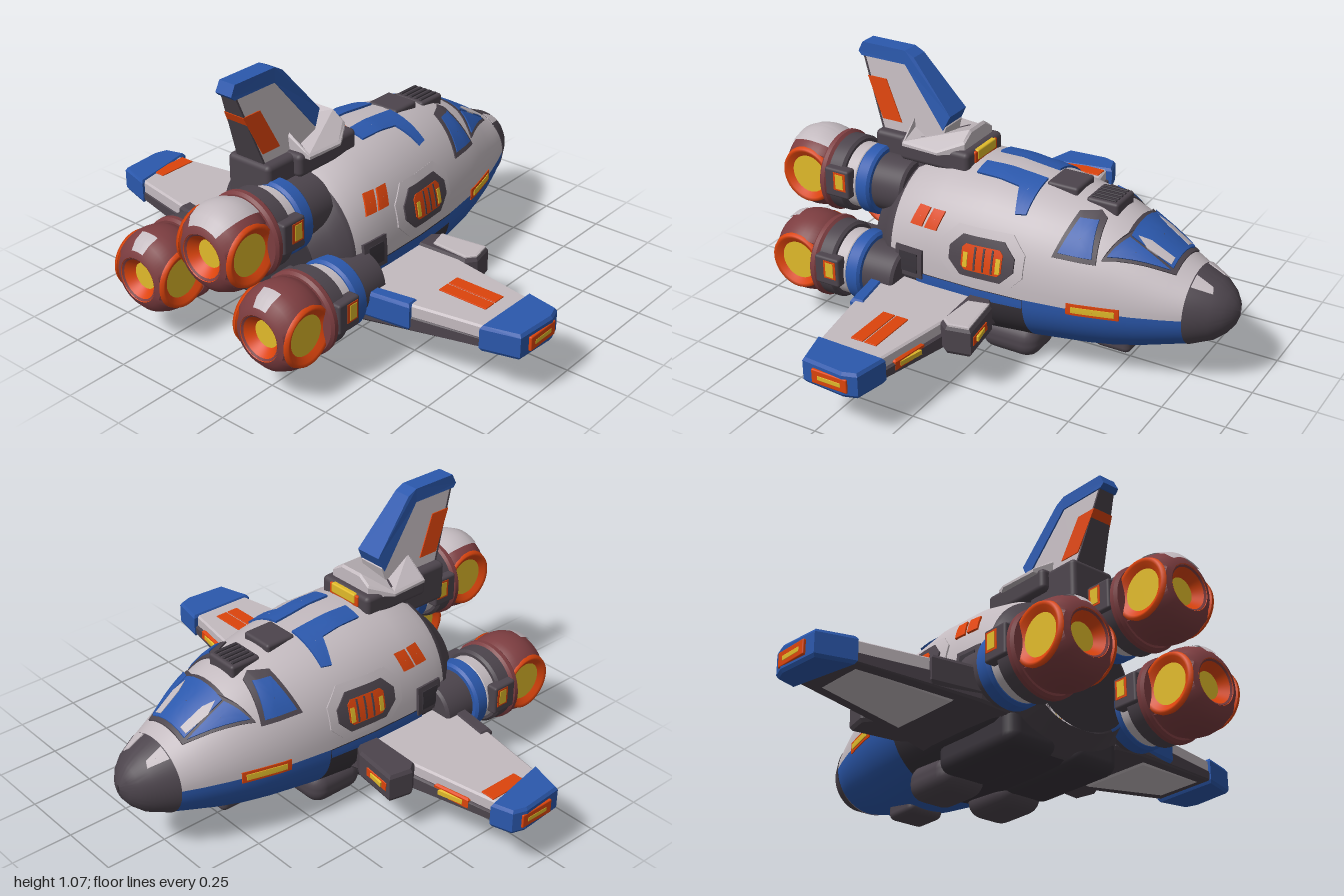
import * as THREE from 'three';
import { toCreasedNormals } from 'three/addons/utils/BufferGeometryUtils.js';
import { RoundedBoxGeometry } from 'three/addons/geometries/RoundedBoxGeometry.js';

const paint = (name, color) => {
  const m = new THREE.MeshStandardMaterial({ color, side: THREE.DoubleSide });
  m.name = name;
  return m;
};
const WHITE = paint('hull white', 0xc3babf), DARK = paint('dark grey', 0x4c444c), BLACK = paint('belly black', 0x38333a);
const BLUE = paint('blue', 0x2b58ac), ORANGE = paint('orange', 0xdc440c), YELLOW = paint('yellow', 0xe0ba2a);
const MAROON = paint('maroon', 0x7c3d40);

// Hull stations: z, half width, top y, bottom y
const ST = [[-0.93, 0.005, 0.335, 0.31], [-0.915, 0.045, 0.37, 0.27], [-0.89, 0.08, 0.4, 0.235], [-0.85, 0.115, 0.43, 0.2],
  [-0.77, 0.16, 0.465, 0.165], [-0.7, 0.19, 0.5, 0.145], [-0.6, 0.227, 0.56, 0.115], [-0.5, 0.257, 0.615, 0.09],
  [-0.4, 0.284, 0.655, 0.075], [-0.2, 0.315, 0.685, 0.06], [0, 0.33, 0.705, 0.05], [0.2, 0.332, 0.7, 0.05],
  [0.33, 0.328, 0.67, 0.055], [0.39, 0.315, 0.635, 0.07], [0.43, 0.28, 0.58, 0.1], [0.5, 0.23, 0.52, 0.13]];
const MID = 0.32;
function station(z) {
  let i = 0;
  while (i < ST.length - 2 && ST[i + 1][0] < z) i++;
  const t = (z - ST[i][0]) / (ST[i + 1][0] - ST[i][0]);
  return ST[i].map((v, k) => v + (ST[i + 1][k] - v) * t);
}
// Cross-section exponent: round at the bow, squarer towards the stern
const power = (z) => 2 + 0.75 * Math.min(0.4, Math.max(0, z + 0.4));
// Push a hull point outward from the hull axis
const lift = (x, y, z, off) => {
  const k = 1 + off / Math.max(0.02, Math.hypot(x, y - MID));
  return [x * k, MID + (y - MID) * k, z];
};
const bulge = (u, n) => Math.pow(1 - Math.pow(Math.min(1, Math.abs(u)), n), 1 / n);
const onAngle = (z, a, off = 0) => {
  const [, w, top, bot] = station(z), c = Math.cos(a), s = Math.sin(a);
  const p = (v) => Math.sign(v) * Math.pow(Math.abs(v), 2 / power(z));
  return lift(w * p(c), MID + p(s) * (s > 0 ? top - MID : MID - bot), z, off);
};
const onSide = (sx) => (z, y, off) => {
  const [, w, top, bot] = station(z);
  return lift(sx * w * bulge((y - MID) / (y > MID ? top - MID : MID - bot), power(z)), y, z, off);
};
const onTop = (sx) => (x, z, off) => {
  const [, w, top] = station(z);
  return lift(sx * x, MID + (top - MID) * bulge(x / w, power(z)), z, off);
};

// Surface through rows of points
function grid(rows) {
  const n = rows[0].length, idx = [];
  for (let i = 0; i < rows.length - 1; i++) for (let j = 0; j < n - 1; j++) {
    const a = i * n + j, b = a + n;
    idx.push(a, b, a + 1, b, b + 1, a + 1);
  }
  const g = new THREE.BufferGeometry();
  g.setAttribute('position', new THREE.Float32BufferAttribute(rows.flat(2), 3));
  g.setIndex(idx);
  return toCreasedNormals(g, 0.7);
}

export function createModel() {
  const root = new THREE.Group();
  root.name = 'spaceShuttle';
  const add = (name, geo, mat, x = 0, y = 0, z = 0, parent = root) => {
    const m = new THREE.Mesh(geo, mat);
    m.name = name;
    m.position.set(x, y, z);
    parent.add(m);
  };
  const box = (name, mat, x0, x1, y0, y1, z0, z1, r = 0.012) => add(name,
    new RoundedBoxGeometry(x1 - x0, y1 - y0, z1 - z0, 3, r), mat, (x0 + x1) / 2, (y0 + y1) / 2, (z0 + z1) / 2);
  const skin = (name, mat, z0, z1, a0, a1, off = 0) => {
    const zs = [z0, ...ST.map((s) => s[0]).filter((z) => z > z0 && z < z1), z1];
    const n = Math.max(4, Math.ceil(Math.abs(a1 - a0) * 10));
    add(name, grid(zs.map((z) => Array.from({ length: n + 1 }, (_, j) => onAngle(z, a0 + (a1 - a0) * j / n, off)))), mat);
  };
  // Thin polygon plate wrapped on the hull
  const patch = (name, mat, pts, proj, off) => {
    const c = [0, 1].map((k) => pts.reduce((s, p) => s + p[k], 0) / pts.length), rim = [], S = 5;
    pts.forEach((p, i) => {
      const q = pts[(i + 1) % pts.length];
      for (let j = 0; j < S; j++) rim.push([p[0] + (q[0] - p[0]) * j / S, p[1] + (q[1] - p[1]) * j / S]);
    });
    rim.push(rim[0]);
    const ring = (t, o) => rim.map((p) => proj(c[0] + (p[0] - c[0]) * t, c[1] + (p[1] - c[1]) * t, o));
    add(name, grid([ring(0.02, off), ring(0.35, off), ring(0.7, off), ring(1, off), ring(1, -0.004)]), mat);
  };
  // Plan-view polygon with bevelled edges between two heights that depend on x
  const slab = (name, mat, poly, sx, bot, top) => {
    const g = new THREE.ExtrudeGeometry(new THREE.Shape(poly.map(([x, z]) => new THREE.Vector2(sx * x, -z))),
      { depth: 0.76, bevelThickness: 0.12, bevelSize: 0.008, bevelOffset: -0.008, bevelSegments: 1 });
    g.rotateX(-Math.PI / 2);
    const p = g.attributes.position;
    for (let i = 0; i < p.count; i++) {
      const x = Math.abs(p.getX(i));
      p.setY(i, bot(x) + (top(x) - bot(x)) * (p.getY(i) + 0.12));
    }
    g.computeVertexNormals();
    add(name, g, mat);
  };

  // Hull
  const P = Math.PI;
  skin('noseCone', DARK, -0.93, -0.77, 0, 2 * P, 0.003);
  skin('upperHull', WHITE, -0.77, 0.39, 0, P);
  skin('lowerBow', BLUE, -0.77, -0.2, -P, 0);
  skin('lowerBand', BLUE, -0.2, 0.25, -0.12, 0, 0.004);
  skin('lowerBand', BLUE, -0.2, 0.25, -P, 0.12 - P, 0.004);
  skin('belly', BLACK, -0.2, 0.39, -P, 0);
  skin('sternRing', DARK, 0.37, 0.5, 0, 2 * P, 0.005);
  add('sternPlate', new THREE.CircleGeometry(0.25, 32).scale(0.94, 0.8, 1), BLACK, 0, 0.325, 0.5);

  // Cockpit windshield and roof fittings
  const top = onTop(1);
  patch('windshieldFrame', DARK, [[-0.1, -0.715], [0.1, -0.715], [0.21, -0.47], [0.1, -0.52], [-0.1, -0.52], [-0.21, -0.47]], top, 0.006);
  patch('windshield', BLUE, [[-0.09, -0.7], [0.09, -0.7], [0.1, -0.535], [-0.1, -0.535]], top, 0.011);
  for (const [z, y] of [[-0.395, 0.668], [-0.23, 0.692]]) box('roofHatch', DARK, -0.07, 0.07, 0.6, y, z - 0.065, z + 0.065);
  for (let i = -2; i < 3; i++) box('hatchRib', BLACK, i * 0.024 - 0.006, i * 0.024 + 0.006, 0.66, 0.674, -0.445, -0.345, 0.003);

  for (const s of [1, -1]) {
    const side = onSide(s), tp = onTop(s);
    patch('windshieldSide', BLUE, [[0.1, -0.695], [0.195, -0.487], [0.108, -0.533]], tp, 0.011);
    patch('glassGlint', WHITE, [[0.055, -0.69], [0.085, -0.69], [0.1, -0.6], [0.085, -0.555], [0.065, -0.6]], tp, 0.013);
    patch('noseGlint', WHITE, [[0.05, -0.84], [0.07, -0.85], [0.1, -0.775], [0.05, -0.775]], tp, 0.007);
    patch('sideWindowFrame', DARK, [[-0.295, 0.5], [-0.455, 0.492], [-0.435, 0.62], [-0.405, 0.638], [-0.335, 0.635]], side, 0.006);
    patch('sideWindow', BLUE, [[-0.315, 0.515], [-0.438, 0.508], [-0.415, 0.615], [-0.35, 0.618]], side, 0.011);
    patch('roofStripe', BLUE, [[0.045, -0.16], [0.21, -0.16], [0.22, -0.12], [0.13, -0.085], [0.045, -0.085]], tp, 0.008);
    patch('roofStripe', BLUE, [[0.045, -0.09], [0.13, -0.09], [0.125, 0.1], [0.05, 0.1]], tp, 0.008);
    // Side vent
    const vent = (z0, z1, y0, y1, c) => [[z0 + c, y0], [z1 - c, y0], [z1, y0 + c], [z1, y1 - c], [z1 - c, y1], [z0 + c, y1], [z0, y1 - c], [z0, y0 + c]];
    patch('ventRim', WHITE, vent(-0.2, 0.14, 0.345, 0.55, 0.06), side, 0.006);
    patch('ventFrame', DARK, vent(-0.165, 0.1, 0.37, 0.52, 0.05), side, 0.013);
    patch('ventGlow', ORANGE, vent(-0.12, 0.045, 0.395, 0.49, 0.015), side, 0.017);
    for (const z of [0.018, -0.115]) patch('ventLamp', YELLOW, [[z, 0.405], [z + 0.018, 0.405], [z + 0.018, 0.46], [z, 0.46]], side, 0.02);
    for (const z of [-0.085, -0.05, -0.015]) patch('ventSlat', DARK, [[z, 0.4], [z + 0.007, 0.4], [z + 0.007, 0.485], [z, 0.485]], side, 0.02);
    // Side markings and lamps
    for (const z of [0.15, 0.215]) patch('hullMark', ORANGE, [[z, 0.572], [z + 0.05, 0.572], [z + 0.075, 0.502], [z + 0.022, 0.502]], side, 0.007);
    patch('sideHatch', DARK, [[0.22, 0.3], [0.34, 0.3], [0.34, 0.415], [0.22, 0.415]], side, 0.012);
    patch('sideHatchPanel', BLACK, [[0.24, 0.32], [0.32, 0.32], [0.32, 0.395], [0.24, 0.395]], side, 0.016);
    patch('bowLampFrame', ORANGE, [[-0.37, 0.3], [-0.56, 0.3], [-0.56, 0.345], [-0.37, 0.345]], side, 0.004);
    patch('bowLamp', YELLOW, [[-0.39, 0.311], [-0.545, 0.311], [-0.545, 0.334], [-0.39, 0.334]], side, 0.007);

    // Wing
    const lo = (x) => 0.15 + 0.05 * Math.min(1, Math.max(0, (x - 0.3) / 0.5)), tipIn = s > 0 ? 0.845 : 0.895;
    slab('wingTop', WHITE, [[0.25, -0.05], [0.5, 0], [0.91, 0.07], [0.91, 0.31], [0.38, 0.405], [0.25, 0.405]], s, () => 0.225, () => 0.28);
    slab('wingUnderside', DARK, [[0.25, -0.07], [0.5, -0.01], [0.91, 0.058], [0.91, 0.315], [0.38, 0.41], [0.25, 0.41]], s, lo, () => 0.235);
    slab('wingUnderPlate', WHITE, [[0.45, 0.035], [0.82, 0.085], [0.82, 0.29], [0.45, 0.35]], s, (x) => lo(x) - 0.008, () => 0.23);
    slab('wingTip', BLUE, [[tipIn, 0.04], [0.98, 0.065], [0.998, 0.12], [0.985, 0.295], [0.84, 0.335]], s, () => 0.185, () => 0.287);
    slab('wingRootPod', DARK, [[0.3, -0.06], [0.36, -0.1], [0.55, -0.125], [0.57, -0.03], [0.54, 0.01], [0.3, 0.02]], s, () => 0.175, () => 0.29);
    if (s > 0) slab('wingPodCover', WHITE, [[0.36, -0.09], [0.545, -0.115], [0.562, -0.035], [0.535, 0], [0.38, -0.01]], s, () => 0.28, () => 0.297);
    slab('wingFlap', s > 0 ? BLUE : DARK, [[0.37, 0.362], [0.57, 0.328], [0.575, 0.385], [0.37, 0.415]], s, () => 0.18, () => 0.287);
    const lamp = (x0, z0, x1, z1, y) => {
      const strip = (e, w) => [[x0 + e, z0 - w], [x1 - e, z1 - w], [x1 - e, z1 + 0.02], [x0 + e, z0 + 0.02]];
      slab('wingLampFrame', ORANGE, strip(0, 0), s, () => y - 0.022, () => y + 0.022);
      slab('wingLamp', YELLOW, strip(0.025, 0.006), s, () => y - 0.012, () => y + 0.012);
    };
    lamp(0.41, -0.11, 0.53, -0.125, 0.232);
    lamp(0.64, 0.014, 0.79, 0.037, 0.222);
    const X = (a, b) => (s > 0 ? [a, b] : [-b, -a]);
    box('tipLampFrame', ORANGE, ...X(0.98, 0.999), 0.205, 0.262, 0.1, 0.25, 0.005);
    box('tipLamp', YELLOW, ...X(0.985, 1.0), 0.222, 0.243, 0.125, 0.225, 0.004);
    if (s > 0) for (const z of [0.118, 0.176]) box('wingMark', ORANGE, 0.585, 0.79, 0.277, 0.284, z, z + 0.052, 0.002);
    else box('wingMark', ORANGE, -0.88, -0.82, 0.277, 0.284, 0.07, 0.24, 0.002);

    // Belly pods
    box('bellyPod', DARK, ...X(0.035, 0.24), 0, 0.14, -0.21, 0.04, 0.062);
    box('bellyRail', BLACK, ...X(0.03, 0.26), 0.04, 0.2, 0, 0.42, 0.05);
  }
  box('bowBellyHatch', DARK, -0.08, 0.08, 0.052, 0.13, -0.53, -0.38, 0.025);

  // Tail fin and its fairing
  box('finPylon', DARK, -0.1, 0.1, 0.58, 0.745, 0.34, 0.58, 0.02);
  box('fairingBase', DARK, -0.13, 0.13, 0.66, 0.75, 0.14, 0.45, 0.02);
  box('fairingLampFrame', ORANGE, -0.08, 0.08, 0.695, 0.742, 0.134, 0.2, 0.006);
  box('fairingLamp', YELLOW, -0.065, 0.065, 0.705, 0.746, 0.13, 0.165, 0.006);
  slab('finFairing', WHITE, [[-0.1, 0.17], [-0.05, 0.17], [0.05, 0.17], [0.1, 0.17], [0.155, 0.26], [0.15, 0.42], [0.05, 0.43], [-0.05, 0.43], [-0.15, 0.42], [-0.155, 0.26]], 1,
    () => 0.73, (x) => 0.815 - 0.7 * Math.max(0, x - 0.05));
  const fin = (name, mat, pts, w) => {
    const g = new THREE.ExtrudeGeometry(new THREE.Shape(pts.map((p) => new THREE.Vector2(...p))), { depth: 1, bevelEnabled: false });
    g.translate(0, 0, -0.5).rotateY(-P / 2);
    const p = g.attributes.position;
    for (let i = 0; i < p.count; i++) p.setX(i, p.getX(i) * 2 * (w + 0.11 * Math.max(0, 1.04 - p.getY(i))));
    g.computeVertexNormals();
    add(name, g, mat);
  };
  fin('finPanel', WHITE, [[0.555, 0.73], [0.663, 1.03], [0.46, 1.03], [0.28, 0.8], [0.3, 0.73]], 0.03);
  fin('finEdge', BLUE, [[0.685, 1.03], [0.665, 1.07], [0.47, 1.07], [0.43, 1.05], [0.26, 0.85], [0.29, 0.79], [0.47, 1.015], [0.67, 1.015]], 0.036);
  fin('finRearEdge', DARK, [[0.553, 0.73], [0.655, 1.015], [0.663, 1.015], [0.561, 0.73]], 0.032);
  fin('finMark', ORANGE, [[0.64, 0.94], [0.555, 0.94], [0.478, 0.782], [0.565, 0.782]], 0.034);

  // Engines
  const turn = (pts, a = 0, len = 2 * P) => new THREE.LatheGeometry(pts.map((p) => new THREE.Vector2(...p)), 64, a, len).rotateX(P / 2);
  const ballProfile = [[0.11, -0.02], [0.14, 0.005], [0.157, 0.045], [0.161, 0.07], [0.163, 0.09], [0.161, 0.112], [0.157, 0.135], [0.14, 0.175], [0.11, 0.203], [0.085, 0.21], [0.078, 0.205]];
  const CUT = 0.125;
  // Fold the flanks inward to make side ports
  const dent = (g) => {
    const p = g.attributes.position;
    for (let i = 0; i < p.count; i++) {
      const x = p.getX(i), a = Math.abs(x);
      if (a > CUT) p.setX(i, Math.sign(x) * (2 * CUT - a));
    }
    return toCreasedNormals(g, 0.6);
  };
  for (const [ex, ey, ez, cap, from] of [[-0.3, 0.272, 0.65, 0.5, 6], [0.3, 0.272, 0.65, 0.5, 6], [0.115, 0.55, 0.72, 1.2, 1]]) {
    const e = new THREE.Group();
    e.name = 'engine';
    e.position.set(ex, ey, ez);
    root.add(e);
    const drum = (name, mat, r, z0, z1) => add(name, toCreasedNormals(
      turn([[0, z0], [r - 0.01, z0], [r, z0 + 0.01], [r, z1 - 0.01], [r - 0.01, z1], [0, z1]]), 0.5), mat, 0, 0, 0, e);
    drum('engineStrut', DARK, 0.115, -0.34, -0.19);
    drum('engineBand', BLUE, 0.14, -0.205, -0.14);
    drum('engineCore', WHITE, 0.13, -0.145, -0.08);
    drum('engineCollar', DARK, 0.152, -0.09, -0.01);
    drum('engineFlange', MAROON, 0.162, -0.025, 0.012);
    add('nozzle', dent(turn(ballProfile)), MAROON, 0, 0, 0, e);
    add('nozzleCap', dent(turn(ballProfile.slice(from, 9).map(([r, z]) => [r + 0.004, z + 0.002]), P - cap / 2, cap)), WHITE, 0, 0, 0, e);
    add('exhaustThroat', turn([[0.088, 0.212], [0.078, 0.2], [0.05, 0.17]]), ORANGE, 0, 0, 0, e);
    add('exhaustGlow', new THREE.CircleGeometry(0.055, 24), YELLOW, 0, 0, 0.172, e);
    for (const s of [1, -1]) {
      add('portRim', new THREE.LatheGeometry([[0.116, CUT - 0.012], [0.11, CUT + 0.004], [0.098, CUT], [0.074, CUT - 0.016]].map((p) => new THREE.Vector2(...p)), 40)
        .rotateZ(-s * P / 2), ORANGE, 0, 0, 0.095, e);
      add('portGlow', new THREE.CircleGeometry(0.08, 32).rotateY(s * P / 2), YELLOW, s * (CUT - 0.014), 0, 0.095, e);
      add('collarBlock', new RoundedBoxGeometry(0.05, 0.12, 0.11, 2, 0.01), DARK, s * 0.138, 0.02, -0.075, e);
      add('collarLampFrame', new THREE.BoxGeometry(0.006, 0.075, 0.055), ORANGE, s * 0.162, 0.03, -0.09, e);
      add('collarLamp', new THREE.BoxGeometry(0.006, 0.06, 0.035), YELLOW, s * 0.164, 0.03, -0.09, e);
    }
  }
  return root;
}
